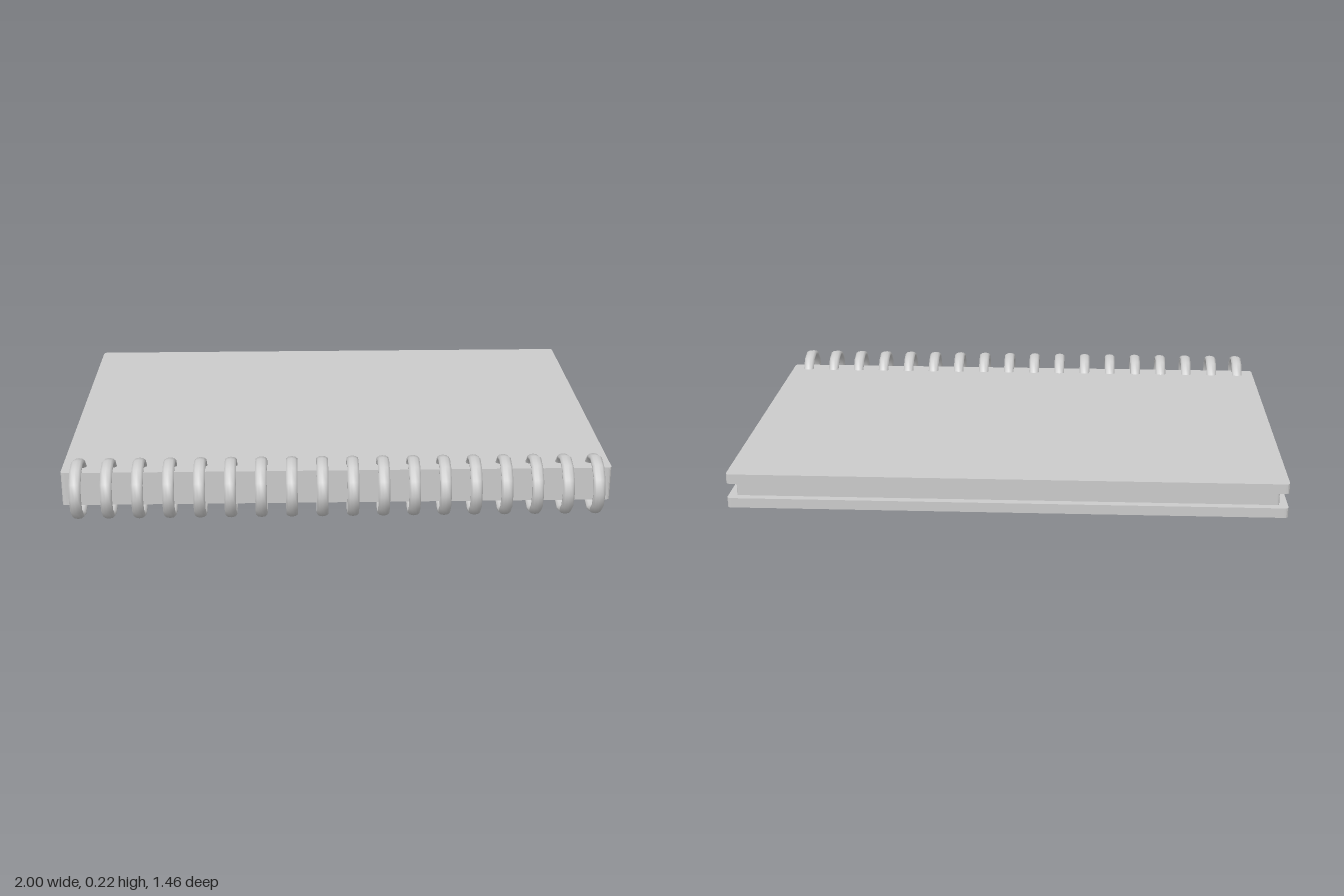
import * as THREE from 'three';

const material = new THREE.MeshStandardMaterial({ color: 0xcccccc });

// Flat slab spanning x0..x1, z0..z1 in plan, with separate back and front corner radii
function slab(name, halfW, zBack, zFront, y0, y1, rBack, rFront) {
  const s = new THREE.Shape();
  // Shape y is -z, so the front edge is the lower one
  const lo = -zFront, hi = -zBack;
  s.moveTo(-halfW + rFront, lo);
  s.lineTo(halfW - rFront, lo);
  s.quadraticCurveTo(halfW, lo, halfW, lo + rFront);
  s.lineTo(halfW, hi - rBack);
  s.quadraticCurveTo(halfW, hi, halfW - rBack, hi);
  s.lineTo(-halfW + rBack, hi);
  s.quadraticCurveTo(-halfW, hi, -halfW, hi - rBack);
  s.lineTo(-halfW, lo + rFront);
  s.quadraticCurveTo(-halfW, lo, -halfW + rFront, lo);
  const geo = new THREE.ExtrudeGeometry(s, { depth: y1 - y0, bevelEnabled: false, curveSegments: 4 });
  geo.rotateX(-Math.PI / 2);
  geo.translate(0, y0, 0);
  const mesh = new THREE.Mesh(geo, material);
  mesh.name = name;
  return mesh;
}

export function createModel() {
  const model = new THREE.Group();
  model.name = 'spiralNotebook';

  // Covers joined by a spine, wrapped around an inset block of pages
  model.add(
    slab('bottomCover', 1, -0.73, 0.6, 0.034, 0.07, 0.015, 0.015),
    slab('topCover', 1, -0.73, 0.6, 0.125, 0.161, 0.015, 0.015),
    slab('spine', 1, 0.58, 0.6, 0.07, 0.125, 0, 0.015),
    slab('pages', 0.97, -0.7, 0.58, 0.07, 0.125, 0.01, 0)
  );

  // Binding rings, wider along x than they are thick
  const rings = new THREE.Group();
  rings.name = 'bindingRings';
  const ringGeo = new THREE.TorusGeometry(0.0975, 0.0125, 10, 12);
  ringGeo.scale(1, 1, 1.75);
  ringGeo.rotateY(Math.PI / 2);
  const count = 18;
  for (let i = 0; i < count; i++) {
    const ring = new THREE.Mesh(ringGeo, material);
    ring.name = 'ring' + (i + 1);
    ring.position.set(-0.933 + (1.866 * i) / (count - 1), 0.11, 0.622);
    rings.add(ring);
  }
  model.add(rings);

  return model;
}
